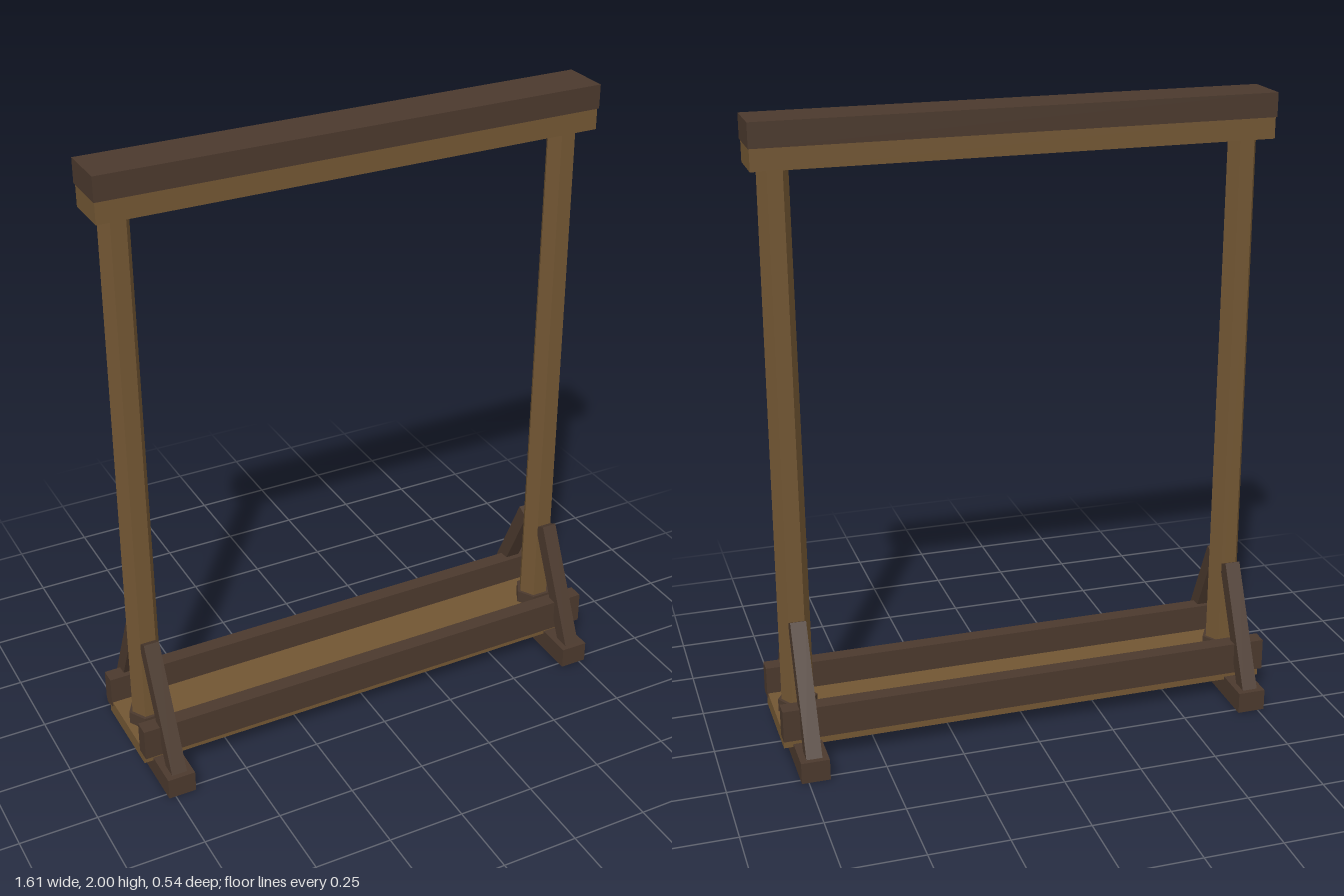
import * as THREE from 'three';

export function createModel() {
  const model = new THREE.Group();
  const dark = new THREE.MeshStandardMaterial({ color: 0x4b392d });
  dark.name = 'dark wood';
  const light = new THREE.MeshStandardMaterial({ color: 0x725633 });
  light.name = 'light wood';

  const add = (name, geometry, material, x, y, z) => {
    const mesh = new THREE.Mesh(geometry, material);
    mesh.name = name;
    mesh.position.set(x, y, z);
    model.add(mesh);
    return mesh;
  };
  const box = (name, material, w, h, d, x, y, z) =>
    add(name, new THREE.BoxGeometry(w, h, d), material, x, y, z);
  // Six-sided post sections with corners pointing along x
  const hexagon = (name, material, rTop, rBottom, y0, y1, x) => {
    const g = new THREE.CylinderGeometry(rTop, rBottom, y1 - y0, 6).toNonIndexed();
    g.computeVertexNormals();
    g.rotateY(Math.PI / 2);
    return add(name, g, material, x, (y0 + y1) / 2, 0);
  };

  // Top beam: dark cap over a light lintel
  box('topCap', dark, 1.61, 0.075, 0.158, 0, 1.9625, 0);
  box('lintel', light, 1.604, 0.067, 0.148, 0, 1.892, 0);

  // Bottom plank
  box('bottomPlank', light, 1.604, 0.05, 0.296, 0, 0.085, 0);

  // Rails along the front and back of the plank
  for (const s of [1, -1]) {
    box(s > 0 ? 'frontRail' : 'backRail', dark, 1.61, 0.105, 0.051, 0, 0.1475, s * 0.147);
  }

  // Posts, collars, feet and braces at each end
  for (const e of [1, -1]) {
    const side = e > 0 ? 'left' : 'right';
    const x = e * 0.727;
    hexagon(side + 'Post', light, 0.047, 0.052, 0.07, 1.87, x);
    hexagon(side + 'Collar', dark, 0.063, 0.063, 0.11, 0.152, x);
    box(side + 'Foot', dark, 0.09, 0.07, 0.544, x, 0.035, 0);
    for (const s of [1, -1]) {
      const brace = box(side + (s > 0 ? 'Front' : 'Back') + 'Brace', dark,
        0.05, 0.43, 0.048, x, 0.246, s * 0.145);
      brace.rotation.x = -s * 0.441;
    }
  }
  return model;
}
